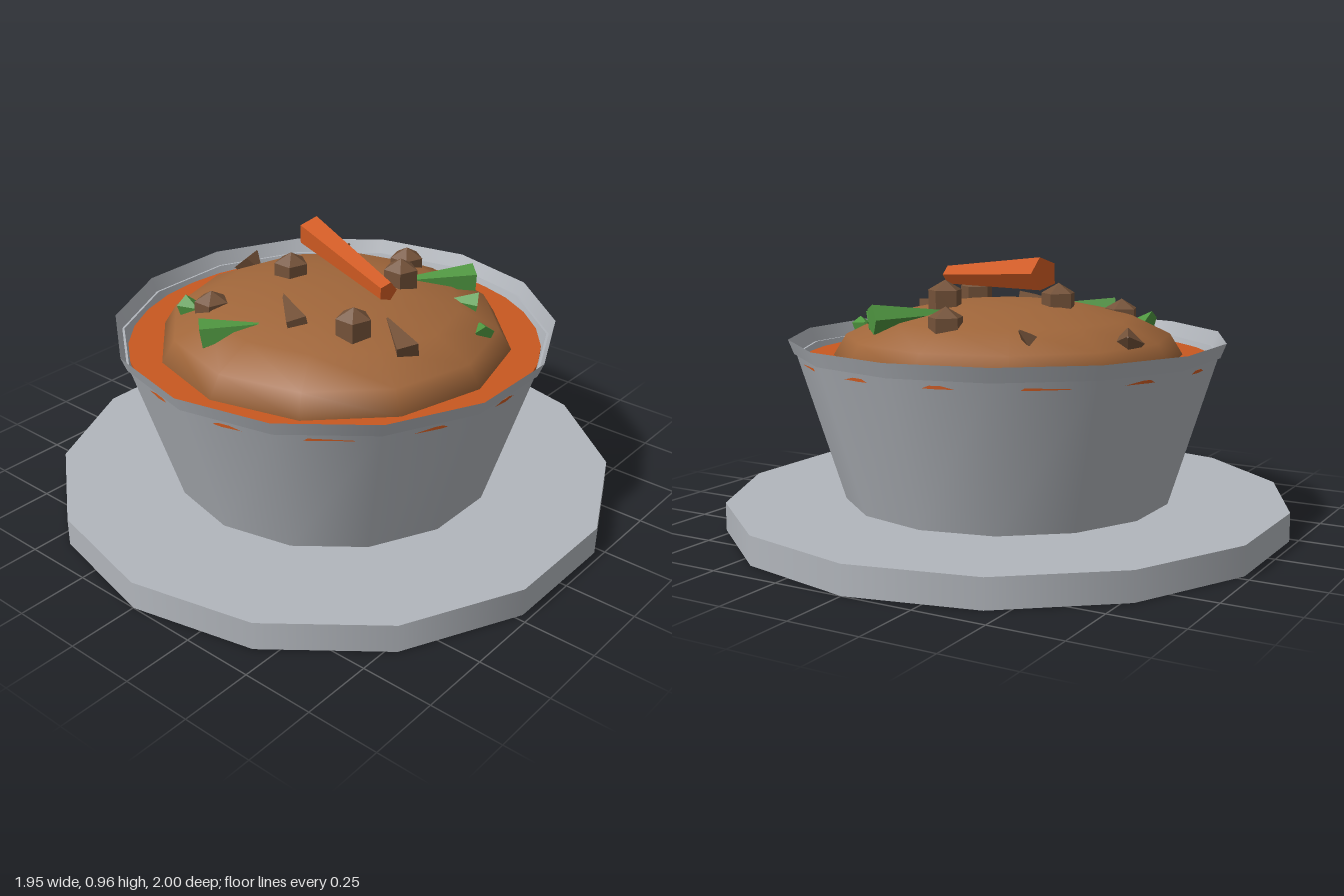
import * as THREE from 'three';

const mat = (name, color, side = THREE.FrontSide) => {
  const m = new THREE.MeshStandardMaterial({ color, side });
  m.name = name;
  return m;
};

export function createModel() {
  const group = new THREE.Group();
  const grey = mat('stoneware grey', 0xb2b6bc, THREE.DoubleSide);
  const broth = mat('orange broth', 0xc85820);
  const stew = mat('stew brown', 0xa0663a);
  const meat = mat('meat brown', 0x745239);
  const carrotOrange = mat('carrot orange', 0xcf5a22);
  const green = mat('herb green', 0x4f9640);

  const add = (name, geo, material, x = 0, y = 0, z = 0) => {
    const m = new THREE.Mesh(geo, material);
    m.name = name;
    m.position.set(x, y, z);
    group.add(m);
    return m;
  };
  const faceted = (geo) => {
    const g = geo.toNonIndexed();
    g.computeVertexNormals();
    return g;
  };
  // Tapered faceted stick running from a to b
  const stick = (name, material, a, b, ra, rb, sides, twist = 0) => {
    const from = new THREE.Vector3(...a), to = new THREE.Vector3(...b);
    const dir = to.clone().sub(from);
    const geo = new THREE.CylinderGeometry(rb, ra, dir.length(), sides).rotateY(twist);
    const m = add(name, faceted(geo), material);
    m.position.copy(from).add(to).multiplyScalar(0.5);
    m.quaternion.setFromUnitVectors(new THREE.Vector3(0, 1, 0), dir.normalize());
    return m;
  };

  // Plate and open bowl with flared rim
  add('plate', new THREE.CylinderGeometry(1, 1, 0.1, 14), grey, 0, 0.05, 0);
  add('bowlWall', new THREE.CylinderGeometry(0.742, 0.58, 0.52, 14, 1, true), grey, 0, 0.36, 0);
  add('bowlRim', new THREE.CylinderGeometry(0.77, 0.75, 0.05, 14, 1, true), grey, 0, 0.645, 0);
  const lip = new THREE.RingGeometry(0.742, 0.75, 14, 1, Math.PI / 2).rotateX(-Math.PI / 2);
  add('rimStep', lip, grey, 0, 0.62, 0);

  // Broth surface and mound of stew
  add('broth', new THREE.CylinderGeometry(0.72, 0.72, 0.01, 32), broth, 0, 0.597, 0);
  const dome = new THREE.SphereGeometry(1, 12, 4, 0, Math.PI * 2, 0, Math.PI / 2);
  add('stewMound', dome, stew, 0, 0.6, 0).scale.set(0.62, 0.2, 0.62);

  // Meat chunks
  const chunk = faceted(new THREE.SphereGeometry(0.07, 5, 3).rotateY(-Math.PI / 2));
  for (const [x, y, z] of [
    [0, 0.74, -0.41], [0.145, 0.805, -0.185], [-0.2, 0.795, 0],
    [0.25, 0.785, 0.2], [-0.3, 0.72, 0.3],
  ]) add('meatChunk', chunk, meat, x, y, z);

  // Meat shreds: pointed tip to wide end
  for (const [a, b, r] of [
    [[-0.1, 0.785, 0.155], [0.085, 0.762, 0.285], 0.048],
    [[0.28, 0.775, 0.06], [0.44, 0.727, 0.155], 0.052],
    [[-0.55, 0.72, -0.19], [-0.51, 0.685, -0.1], 0.055],
    [[-0.28, 0.75, -0.42], [-0.3, 0.715, -0.385], 0.03],
  ]) stick('meatShred', meat, a, b, 0.004, r, 4, 0.4);

  // Green herb pieces
  for (const [a, b, r] of [
    [[0.085, 0.765, -0.2], [0.275, 0.755, -0.44], 0.053],
    [[-0.035, 0.755, 0.335], [-0.175, 0.725, 0.475], 0.056],
    [[0.3, 0.735, -0.265], [0.375, 0.72, -0.32], 0.048],
    [[0.46, 0.71, -0.22], [0.505, 0.695, -0.185], 0.035],
    [[-0.35, 0.715, 0.325], [-0.405, 0.705, 0.32], 0.045],
  ]) stick('herb', green, a, b, 0.006, r, 5, 0.3);

  // Carrot stick resting on the chunks
  stick('carrotStick', carrotOrange, [-0.21, 0.905, -0.125], [0.28, 0.87, 0.06], 0.058, 0.034, 5, 0.3);

  return group;
}
